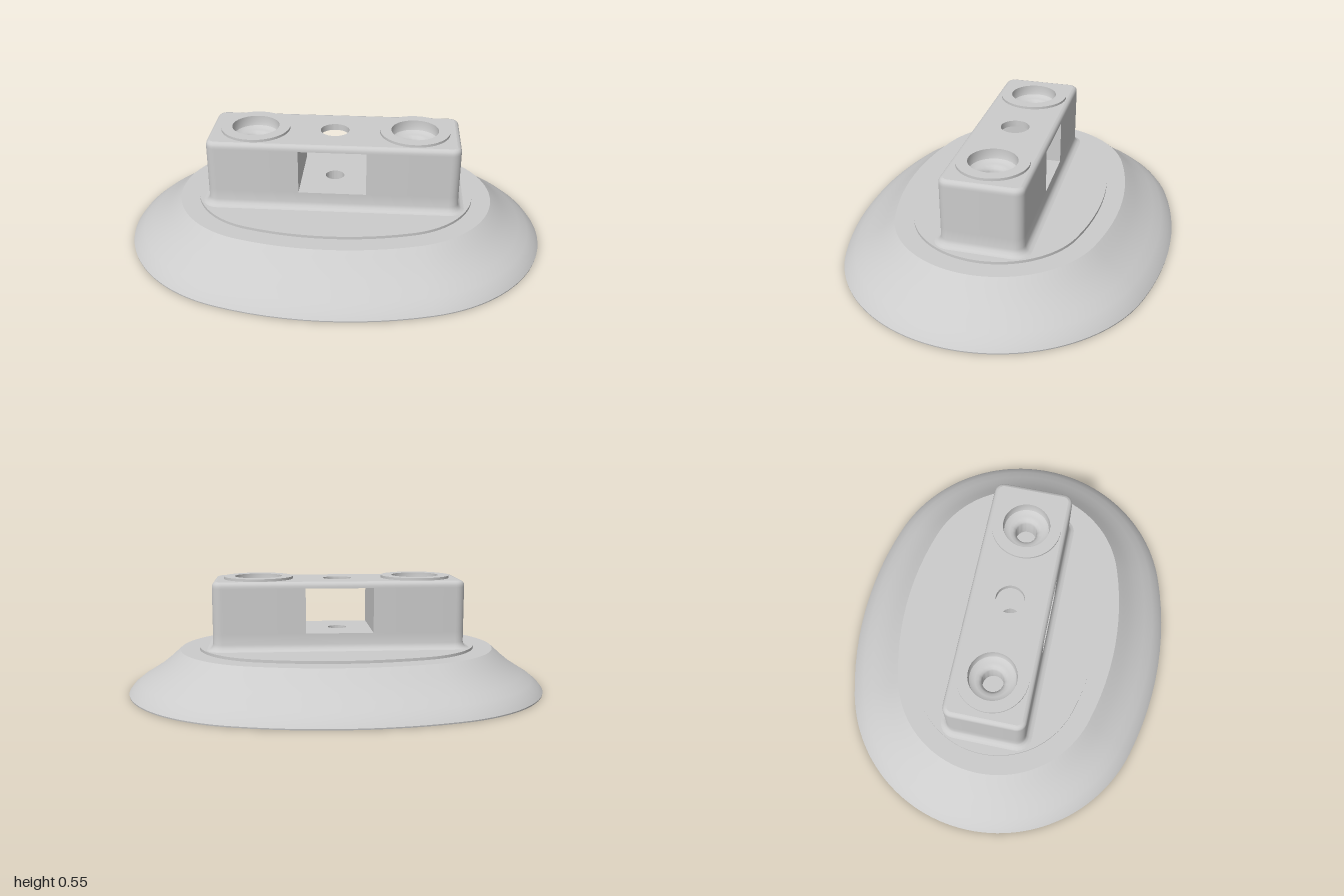
import * as THREE from 'three';
import { toCreasedNormals } from 'three/addons/utils/BufferGeometryUtils.js';

const material = new THREE.MeshStandardMaterial({ color: 0xcccccc, side: THREE.DoubleSide });
const WIN = { x: 0.158, y0: 0.295, y1: 0.505 }; // window through the block
const BLOCK = { x: 0.59, z: 0.19 };
const BOSS_X = 0.378;
// Oval of four arcs: end arcs (radius r about x = c), side arcs (radius R about z = -k)
const OVAL = { r: 0.4, c: 0.265, R: 1.3, k: 0.86 };

// Oval outline pushed outwards along its normal by o
function ovalRing(o, n = 128) {
  const { r, c, R, k } = OVAL, ring = [];
  for (let i = 0; i < n; i++) {
    const t = (i / n) * Math.PI * 2, nx = Math.cos(t), nz = Math.sin(t);
    const onEnd = Math.abs(nz) * c < Math.abs(nx) * k;
    ring.push(onEnd
      ? [Math.sign(nx) * c + (r + o) * nx, (r + o) * nz]
      : [(R + o) * nx, (R + o) * nz - Math.sign(nz) * k]);
  }
  return ring;
}

// Half depth of the offset oval at a given x
function ovalDepth(x, o) {
  const { r, c, R, k } = OVAL, ax = Math.abs(x);
  return ax < (c * (R + o)) / (R - r)
    ? Math.sqrt((R + o) ** 2 - ax * ax) - k
    : Math.sqrt(Math.max(0, (r + o) ** 2 - (ax - c) ** 2));
}

// Rounded rectangle grown by o, with extra points at the window edges
function blockRing(o) {
  const r = 0.045 + o, hx = BLOCK.x + o, hz = BLOCK.z + o, ring = [];
  [[1, 1], [-1, 1], [-1, -1], [1, -1]].forEach(([sx, sz], q) => {
    for (let i = 0; i <= 6; i++) {
      const t = (q + i / 6) * Math.PI / 2;
      ring.push([sx * (hx - r) + r * Math.cos(t), sz * (hz - r) + r * Math.sin(t)]);
    }
    if (q % 2 === 0) ring.push([sx * WIN.x, sz * hz], [-sx * WIN.x, sz * hz]);
  });
  return ring;
}

// Skin over a stack of outlines; profile entries are [offset, y]
function loft(ringAt, profile, skip = () => false) {
  const rings = profile.map(([o, y]) => ringAt(o).map(([x, z]) => [x, y, z]));
  const n = rings[0].length, index = [];
  for (let j = 0; j < rings.length - 1; j++) {
    for (let i = 0; i < n; i++) {
      const k = (i + 1) % n;
      if (skip(rings[j][i], rings[j + 1][k])) continue;
      const a = j * n + i, b = j * n + k;
      index.push(a, a + n, b, b, a + n, b + n);
    }
  }
  const g = new THREE.BufferGeometry();
  g.setAttribute('position', new THREE.Float32BufferAttribute(rings.flat(2), 3));
  g.setIndex(index);
  return toCreasedNormals(g, 0.6);
}

// Flat horizontal face with round holes [x, radius]
function flatFace(ring, y, holes = [], down = false) {
  const shape = new THREE.Shape(ring.map(([x, z]) => new THREE.Vector2(x, z)));
  for (const [x, r] of holes) {
    shape.holes.push(new THREE.Path().absarc(x, 0, r, 0, Math.PI * 2, true));
  }
  return new THREE.ShapeGeometry(shape, 24).rotateX(down ? Math.PI / 2 : -Math.PI / 2).translate(0, y, 0);
}

function lathe(points) {
  const g = new THREE.LatheGeometry(points.map(([r, y]) => new THREE.Vector2(r, y)), 48);
  return toCreasedNormals(g, 0.6);
}

export function createModel() {
  const model = new THREE.Group();
  const add = (name, geometry, parent = model) => {
    const mesh = new THREE.Mesh(geometry, material);
    mesh.name = name;
    parent.add(mesh);
    return mesh;
  };

  // Flared oval cup: cavity wall curving into the underside, rim, skirt, shoulder and raised plate
  const cup = new THREE.Group();
  cup.name = 'suctionCup';
  model.add(cup);
  add('cupSkirt', loft(ovalRing, [
    [-0.025, 0.13], [-0.02, 0.108], [-0.008, 0.092], [0.012, 0.079], [0.04, 0.069], [0.08, 0.058],
    [0.15, 0.041], [0.24, 0.019], [0.325, 0], [0.334, 0], [0.335, 0.006], [0.315, 0.032], [0.28, 0.06],
    [0.235, 0.088], [0.19, 0.117], [0.145, 0.153], [0.115, 0.18], [0.09, 0.202], [0, 0.202], [0, 0.215],
  ]), cup);
  add('cupTopPlate', flatFace(ovalRing(0), 0.215, [[0, 0.045]]), cup);
  add('cavityCeiling', flatFace(ovalRing(-0.025), 0.13, [], true), cup);

  // Pad of rounded ribs with rounded ends, running front to back and hanging from the ceiling
  const ribs = new THREE.PlaneGeometry(2, 2, 144, 40).rotateX(Math.PI / 2);
  const p = ribs.attributes.position;
  for (let i = 0; i < p.count; i++) {
    const u = p.getX(i), v = p.getZ(i), x = u * 0.62;
    const end = Math.min(1, (1 - Math.abs(v)) * 6);
    const wave = Math.pow(Math.abs(Math.sin((u + 1) * Math.PI * 4)), 0.7);
    const drop = (0.045 + 0.055 * wave) * Math.sqrt(end * (2 - end));
    p.setXYZ(i, x, 0.13 - drop, v * ovalDepth(x, -0.045));
  }
  add('cavityRibs', toCreasedNormals(ribs, 0.7), cup);

  // Block with a fillet at its foot, rounded edges and the window left open
  const block = new THREE.Group();
  block.name = 'mountBlock';
  model.add(block);
  const inWindow = (a, b) => a[1] === WIN.y0 && b[1] === WIN.y1 &&
    Math.abs(a[0]) < WIN.x + 0.01 && Math.abs(b[0]) < WIN.x + 0.01;
  add('blockSides', loft(blockRing, [
    [0.03, 0.215], [0.016, 0.219], [0.005, 0.229], [0, 0.245], [0, WIN.y0], [0, WIN.y1],
    [0, 0.515], [-0.003, 0.525], [-0.01, 0.532], [-0.02, 0.535],
  ], inWindow), block);
  add('blockTop', flatFace(blockRing(-0.02), 0.535, [[0, 0.068], [BOSS_X, 0.14], [-BOSS_X, 0.14]]), block);

  // Window lining
  const opening = [[1, 1], [-1, 1], [-1, -1], [1, -1]].map(([x, z]) => [x * WIN.x, z * BLOCK.z]);
  add('windowFloor', flatFace(opening, WIN.y0, [[0, 0.045]]), block);
  add('windowCeiling', flatFace(opening, WIN.y1, [[0, 0.068]], true), block);
  for (const s of [1, -1]) {
    const wall = new THREE.PlaneGeometry(BLOCK.z * 2, WIN.y1 - WIN.y0);
    wall.rotateY(-s * Math.PI / 2).translate(s * WIN.x, (WIN.y0 + WIN.y1) / 2, 0);
    add(s > 0 ? 'windowWallLeft' : 'windowWallRight', wall, block);
  }

  // Centre holes: one through the top, a narrower blind one in the window floor
  add('topHole', lathe([[0.068, 0.535], [0.068, 0.505]]), block);
  add('floorHole', lathe([[0.045, WIN.y0], [0.045, 0.19], [0, 0.19]]), block);

  // Raised round seats with stepped screw pockets
  for (const s of [1, -1]) {
    const seat = add(s > 0 ? 'screwSeatLeft' : 'screwSeatRight', lathe([
      [0.165, 0.535], [0.165, 0.547], [0.112, 0.547], [0.112, 0.515], [0.107, 0.5], [0.095, 0.491],
      [0.08, 0.488], [0.065, 0.484], [0.055, 0.476], [0.05, 0.465], [0.05, 0.38], [0, 0.38],
    ]), block);
    seat.position.x = s * BOSS_X;
  }
  return model;
}
